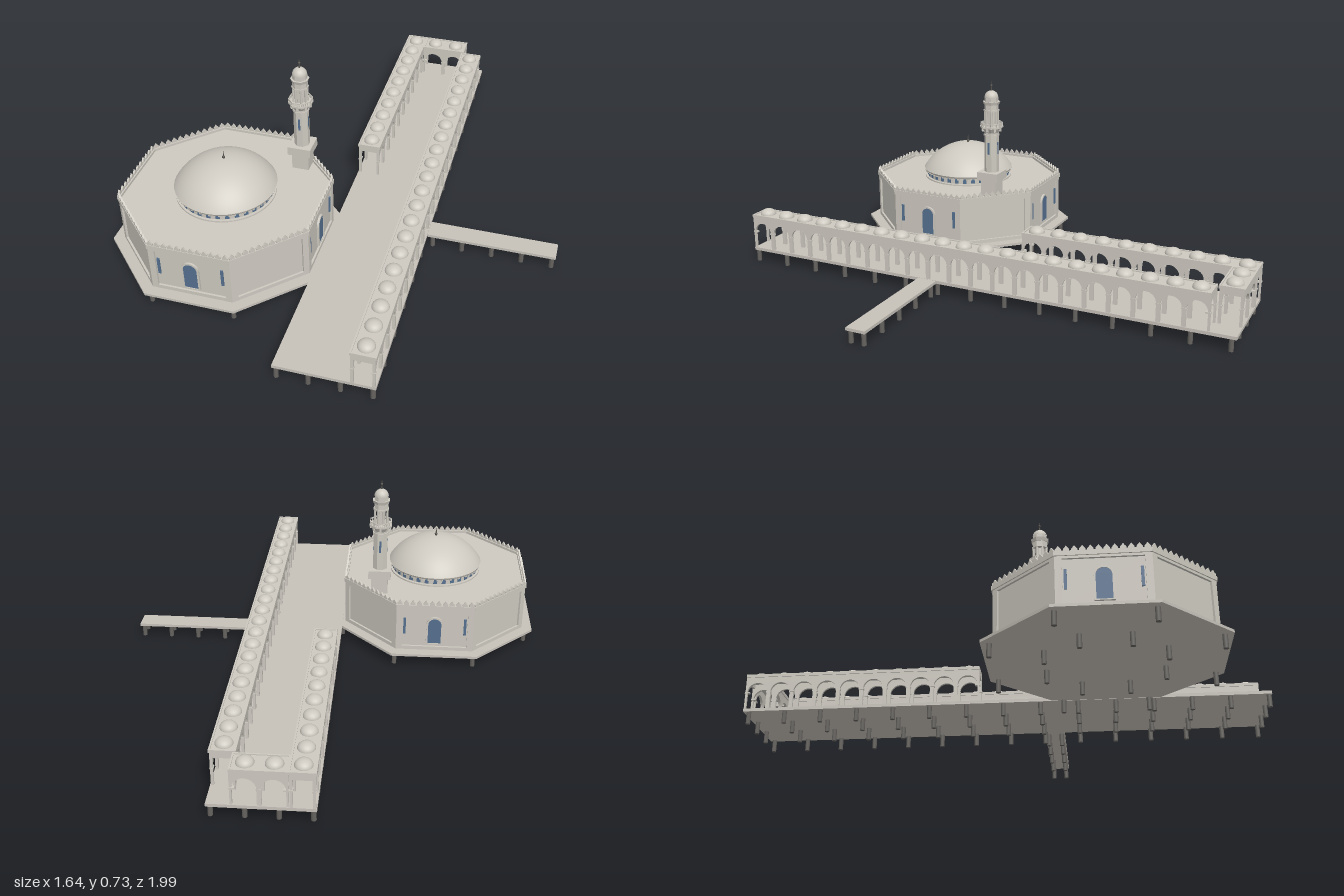
import * as THREE from 'three';

const mat = (name, color) => Object.assign(new THREE.MeshStandardMaterial({ color }), { name });

export function createModel() {
  const model = new THREE.Group();
  const stone = mat('stone', 0xcdc9c0);
  const paving = mat('paving', 0xc6c1b9);
  const pileGrey = mat('pile grey', 0x66635f);
  const glass = mat('blue glass', 0x55708f);
  const metal = mat('dark metal', 0x57544f);

  // helpers
  const group = (name, parent = model) => {
    const g = new THREE.Group();
    g.name = name;
    parent.add(g);
    return g;
  };
  const add = (parent, name, geo, m, x = 0, y = 0, z = 0) => {
    const mesh = new THREE.Mesh(geo, m);
    mesh.name = name;
    mesh.position.set(x, y, z);
    parent.add(mesh);
    return mesh;
  };
  // box given by its centre in x and z and its bottom and top
  const box = (parent, name, m, w, d, y0, y1, x = 0, z = 0) =>
    add(parent, name, new THREE.BoxGeometry(w, y1 - y0, d), m, x, (y0 + y1) / 2, z);
  // faceted octagonal prism given by apothems
  const COS8 = Math.cos(Math.PI / 8);
  const octagon = (parent, name, m, top, bottom, y0, y1) => {
    const geo = new THREE.CylinderGeometry(top / COS8, bottom / COS8, y1 - y0, 8, 1, false, Math.PI / 8).toNonIndexed();
    geo.computeVertexNormals();
    return add(parent, name, geo, m, 0, (y0 + y1) / 2, 0);
  };
  const round = (parent, name, m, top, bottom, y0, y1, sides = 12, x = 0, z = 0) =>
    add(parent, name, new THREE.CylinderGeometry(top, bottom, y1 - y0, sides), m, x, (y0 + y1) / 2, z);
  const extrude = (shape, depth) =>
    new THREE.ExtrudeGeometry(shape, { depth, bevelEnabled: false, curveSegments: 12 });
  const shapeOf = (pts) => new THREE.Shape(pts.map(([x, y]) => new THREE.Vector2(x, y)));
  const archShape = (w, y0, y1) => {
    const s = new THREE.Shape();
    s.moveTo(-w / 2, y0);
    s.lineTo(w / 2, y0);
    s.lineTo(w / 2, y1 - w / 2);
    s.absarc(0, y1 - w / 2, w / 2, 0, Math.PI, false);
    s.closePath();
    return s;
  };

  const DECK0 = 0.048, DECK = 0.06;
  const HX = -0.415, HZ = 0.385;

  // decks
  const decks = group('decks');
  box(decks, 'mainDeck', paving, 0.36, 1.99, DECK0, DECK, 0.145, -0.005);
  box(decks, 'jetty', paving, 0.49, 0.077, DECK0, DECK - 0.001, 0.57, 0.178);
  octagon(decks, 'hallDeck', paving, 0.41, 0.41, DECK0 + 0.001, DECK - 0.001).position.add(new THREE.Vector3(HX, 0, HZ));

  // piles under the decks
  const piles = group('piles');
  const pile = (x, z) => round(piles, 'pile', pileGrey, 0.009, 0.009, 0, DECK0 + 0.002, 8, x, z);
  for (let i = 0; i < 4; i++)
    for (let j = 0; j < 15; j++) pile(-0.023 + i * 0.112, -0.98 + j * 0.14);
  for (let i = 0; i < 5; i++) for (const z of [0.152, 0.204]) pile(0.345 + i * 0.114, z);
  for (const apothem of [0.38, 0.205])
    for (let k = 0; k < 8; k++) {
      const a = Math.PI / 8 + k * Math.PI / 4, r = apothem / COS8;
      pile(HX + r * Math.sin(a), HZ + r * Math.cos(a));
    }

  // arcade running along local x from 0, centred on z = 0, floor at y = 0
  const arcade = (name, bays, length, x, z, turn) => {
    const g = group(name);
    g.position.set(x, DECK, z);
    g.rotation.y = turn;
    const bay = length / bays, pier = 0.015, half = 0.043, r = (bay - pier) / 2, spring = 0.105 - r;
    const wall = new THREE.Shape();
    wall.moveTo(0, 0);
    for (let i = 0; i < bays; i++) {
      const c = (i + 0.5) * bay;
      wall.lineTo(c - r, 0);
      wall.lineTo(c - r, spring);
      wall.absarc(c, spring, r, Math.PI, 0, true);
      wall.lineTo(c + r, 0);
    }
    wall.lineTo(length, 0);
    wall.lineTo(length, 0.13);
    wall.lineTo(0, 0.13);
    wall.closePath();
    const wallGeo = extrude(wall, 0.01);
    for (const s of [-1, 1]) {
      add(g, 'archedWall', wallGeo, stone, 0, 0, s * (half - 0.006) - 0.005);
      box(g, 'cornice', stone, length, 0.006, 0.128, 0.14, length / 2, s * 0.0425);
      for (let i = 0; i <= bays; i++) {
        const px = Math.min(Math.max(i * bay, 0.0075), length - 0.0075);
        box(g, 'capital', stone, 0.019, 0.013, spring - 0.004, spring + 0.002, px, s * (half - 0.006));
      }
      // end lintels
      const ex = s < 0 ? 0.005 : length - 0.005;
      box(g, 'endLintel', stone, 0.0098, 0.08, 0.11, 0.13, ex, 0);
      box(g, 'endCornice', stone, 0.006, 0.085, 0.128, 0.14, s < 0 ? 0.003 : length - 0.003, 0);
    }
    box(g, 'roof', stone, length - 0.002, 0.084, 0.128, 0.136, length / 2, 0);
    const domeGeo = new THREE.SphereGeometry(0.031, 20, 8, 0, Math.PI * 2, 0, Math.PI / 2);
    domeGeo.scale(1, 0.75, 1);
    for (let i = 0; i < bays; i++) add(g, 'smallDome', domeGeo, stone, (i + 0.5) * bay, 0.136, 0);
  };
  arcade('rightArcade', 21, 1.895, 0.28, -0.905, -Math.PI / 2);
  arcade('leftArcade', 10, 0.91, 0.01, -1, -Math.PI / 2);
  arcade('backArcade', 2, 0.19, 0.055, -0.955, 0);

  // octagonal prayer hall
  const hall = group('hall');
  hall.position.set(HX, 0, HZ);
  const A = 0.37, HW = A * Math.tan(Math.PI / 8);
  octagon(hall, 'hallCore', stone, A - 0.008, A - 0.008, DECK - 0.005, 0.252);
  const frame = shapeOf([[-HW, DECK], [HW, DECK], [HW, 0.25], [-HW, 0.25]]);
  frame.holes.push(new THREE.Path([[-0.13, 0.075], [-0.13, 0.236], [0.13, 0.236], [0.13, 0.075]]
    .map(([x, y]) => new THREE.Vector2(x, y))));
  const frameGeo = extrude(frame, 0.008);
  const windowGeo = extrude(archShape(0.052, 0.09, 0.2), 0.006);
  const trim = archShape(0.066, 0.086, 0.207);
  trim.holes.push(archShape(0.052, 0.09, 0.2));
  const trimGeo = extrude(trim, 0.009);
  const merlonGeo = extrude(shapeOf([[-0.01, 0], [0.01, 0], [0.01, 0.007], [0.005, 0.013], [0, 0.02],
    [-0.005, 0.013], [-0.01, 0.007]]), 0.007);
  for (let k = 0; k < 8; k++) {
    const side = group('hallSide', hall);
    side.rotation.y = k * Math.PI / 4;
    add(side, 'wallFrame', frameGeo, stone, 0, 0, A - 0.008);
    box(side, 'wallCornice', stone, HW * 2 + 0.004, 0.014, 0.245, 0.262, 0, A - 0.003);
    for (let i = 0; i < 12; i++) add(side, 'merlon', merlonGeo, stone, (i - 5.5) * HW / 6, 0.261, A - 0.005);
    if (k % 2 === 0) {
      add(side, 'archWindow', windowGeo, glass, 0, 0, A - 0.009);
      add(side, 'windowTrim', trimGeo, stone, 0, 0, A - 0.009);
      for (const s of [-1, 1]) box(side, 'slitWindow', glass, 0.01, 0.006, 0.13, 0.2, s * 0.12, A - 0.006);
    }
  }

  // drum and main dome
  const dome = group('mainDome', hall);
  round(dome, 'drumBase', stone, 0.188, 0.188, 0.25, 0.258, 48);
  round(dome, 'drum', stone, 0.178, 0.178, 0.25, 0.285, 48);
  round(dome, 'domeRim', stone, 0.194, 0.19, 0.284, 0.292, 48);
  for (let k = 0; k < 32; k++) {
    const bay = group('drumBay', dome);
    bay.rotation.y = k * Math.PI / 16;
    box(bay, 'drumWindow', glass, 0.016, 0.006, 0.261, 0.279, 0, 0.177);
    for (const s of [-0.25, 0.25])
      box(bay, 'dentil', stone, 0.008, 0.012, 0.278, 0.286, s * 0.037, 0.183);
  }
  const capR = 0.2243;
  add(dome, 'domeShell', new THREE.SphereGeometry(capR, 48, 16, 0, Math.PI * 2, 0, Math.asin(0.193 / capR)),
    stone, 0, 0.4 - capR, 0);
  round(dome, 'finial', metal, 0.001, 0.0035, 0.398, 0.432, 8);
  add(dome, 'finialBall', new THREE.SphereGeometry(0.006, 10, 8), metal, 0, 0.406, 0);

  // minaret
  const minaret = group('minaret');
  minaret.position.set(-0.188, 0, 0.157);
  box(minaret, 'pedestal', stone, 0.066, 0.066, 0.25, 0.322);
  box(minaret, 'pedestalCap', stone, 0.09, 0.09, 0.32, 0.355);
  octagon(minaret, 'shaft', stone, 0.027, 0.028, 0.354, 0.525);
  octagon(minaret, 'shaftRing', stone, 0.03, 0.03, 0.505, 0.512);
  octagon(minaret, 'corbel', stone, 0.041, 0.028, 0.52, 0.54);
  octagon(minaret, 'balconyFloor', stone, 0.044, 0.044, 0.54, 0.547);
  octagon(minaret, 'lanternCore', stone, 0.017, 0.017, 0.546, 0.636);
  octagon(minaret, 'lanternBand', stone, 0.03, 0.03, 0.608, 0.614);
  octagon(minaret, 'lanternWall', stone, 0.027, 0.027, 0.613, 0.636);
  octagon(minaret, 'lanternCornice', stone, 0.033, 0.029, 0.635, 0.648);
  octagon(minaret, 'domeNeck', stone, 0.026, 0.026, 0.647, 0.665);
  for (let k = 0; k < 8; k++) {
    const side = group('minaretSide', minaret);
    side.rotation.y = k * Math.PI / 4;
    box(side, 'railing', stone, 0.034, 0.003, 0.557, 0.561, 0, 0.041);
    for (const x of [-0.016, -0.008, 0, 0.008]) box(side, 'baluster', stone, 0.003, 0.003, 0.546, 0.558, x, 0.041);
    box(side, 'corbelBlock', stone, 0.008, 0.01, 0.526, 0.541, 0, 0.037);
    round(side, 'lanternColumn', stone, 0.0045, 0.0045, 0.546, 0.61, 8, 0.0105, 0.024);
    if (k % 2 === 0) box(side, 'shaftSlit', glass, 0.008, 0.004, 0.43, 0.48, 0, 0.0265);
  }
  const cap = new THREE.SphereGeometry(0.028, 20, 8, 0, Math.PI * 2, 0, Math.PI / 2);
  add(minaret, 'minaretDome', cap, stone, 0, 0.664, 0);
  round(minaret, 'minaretFinial', metal, 0.001, 0.003, 0.69, 0.727, 8);
  add(minaret, 'minaretFinialBall', new THREE.SphereGeometry(0.005, 10, 8), metal, 0, 0.712, 0);

  return model;
}
